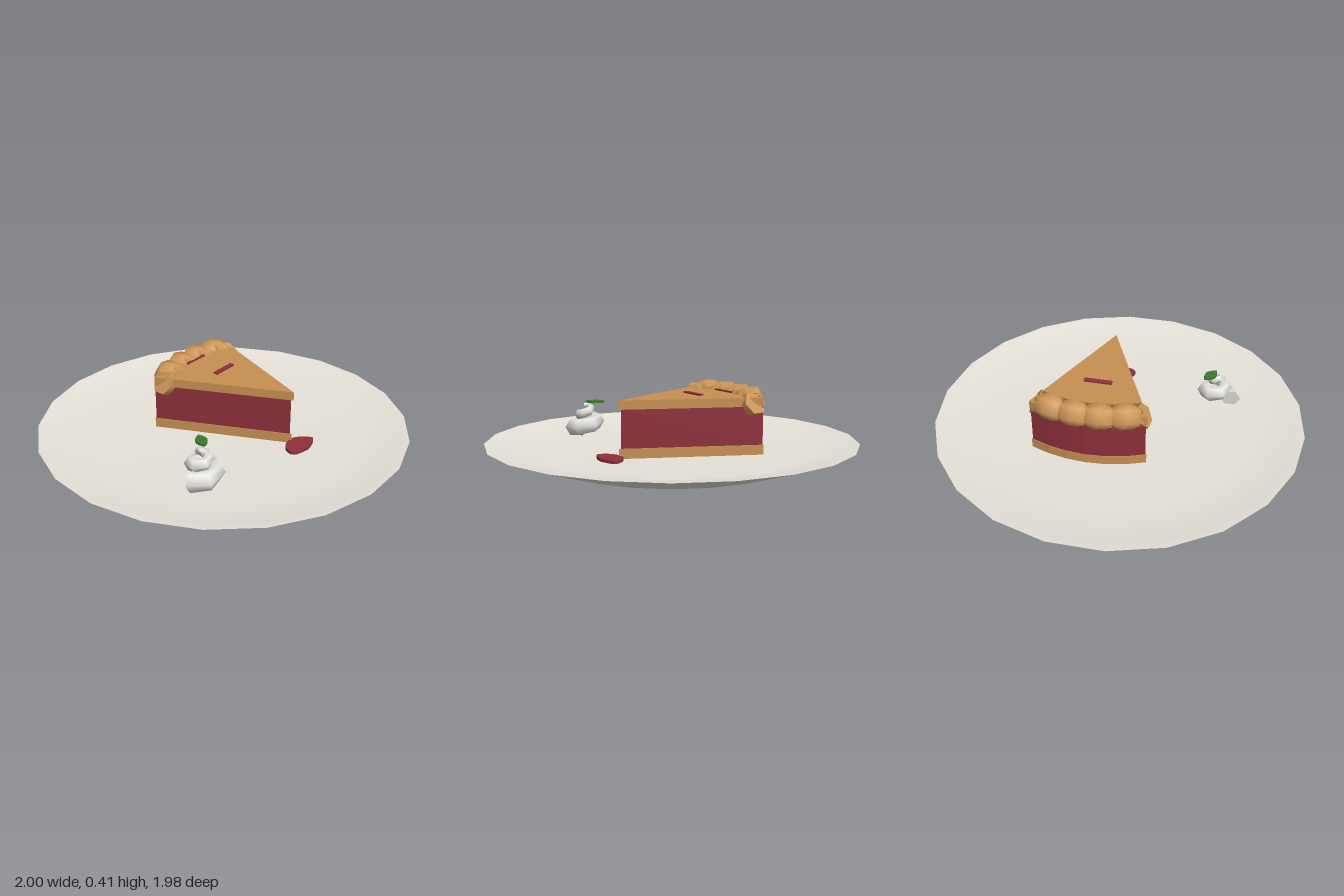
import * as THREE from 'three';

const mat = (name, color) => {
  const m = new THREE.MeshStandardMaterial({ color });
  m.name = name;
  return m;
};

// Capped tube swept along path(t), with a radius that may change along it
function sweep(path, radius, steps, sides) {
  const pos = [], idx = [];
  const up = new THREE.Vector3(0, 1, 0);
  const ring = (t) => {
    const c = path(t);
    const dir = path(t + 0.001).sub(path(t - 0.001)).normalize();
    const side = dir.clone().cross(up).normalize();
    const n = side.clone().cross(dir);
    for (let j = 0; j < sides; j++) {
      const a = (j / sides) * Math.PI * 2, r = radius(t);
      const p = c.clone().addScaledVector(side, r * Math.cos(a)).addScaledVector(n, r * Math.sin(a));
      pos.push(p.x, p.y, p.z);
    }
  };
  for (let i = 0; i <= steps; i++) ring(i / steps);
  for (let i = 0; i < steps; i++) {
    for (let j = 0; j < sides; j++) {
      const k = (j + 1) % sides;
      const a = i * sides + j, b = i * sides + k, c = a + sides, d = b + sides;
      idx.push(a, c, b, b, c, d);
    }
  }
  // Flat end caps with their own corners
  for (const t of [0, 1]) {
    const base = pos.length / 3;
    ring(t);
    for (let j = 1; j < sides - 1; j++) {
      if (t === 0) idx.push(base, base + j, base + j + 1);
      else idx.push(base, base + j + 1, base + j);
    }
  }
  const g = new THREE.BufferGeometry();
  g.setAttribute('position', new THREE.Float32BufferAttribute(pos, 3));
  g.setIndex(idx);
  g.computeVertexNormals();
  return g;
}

// Flat shape extruded upward; shape y points to the back
function slab(shape, height) {
  const g = new THREE.ExtrudeGeometry(shape, { depth: height, bevelEnabled: false, curveSegments: 6 });
  return g.rotateX(-Math.PI / 2);
}

function wedgeShape(radius, half) {
  const s = new THREE.Shape();
  s.moveTo(0, 0);
  for (let i = 0; i <= 6; i++) {
    const a = half - (i / 6) * half * 2;
    s.lineTo(Math.sin(a) * radius, Math.cos(a) * radius);
  }
  s.closePath();
  return s;
}

export function createModel() {
  const model = new THREE.Group();
  const china = mat('china', 0xe6e2d9);
  const crust = mat('crust', 0xc68f52);
  const bakedEdge = mat('bakedEdge', 0xd0985a);
  const berry = mat('berry', 0x8e2f3b);
  const cream = mat('cream', 0xf6f4f0);
  const mint = mat('mint', 0x3b7a2c);

  const add = (name, geometry, material, x = 0, y = 0, z = 0) => {
    const m = new THREE.Mesh(geometry, material);
    m.name = name;
    m.position.set(x, y, z);
    model.add(m);
    return m;
  };

  // Plate: outer shell and shallow dish
  const lathe = (pts) => new THREE.LatheGeometry(
    pts.map(([x, y]) => new THREE.Vector2(x, y)), 22, Math.PI / 2);
  add('plateUnderside', lathe([[0, 0], [0.65, 0], [1, 0.115]]), china);
  add('plateDish', lathe([[1, 0.115], [0.95, 0.11], [0.72, 0.066], [0, 0.066]]), china);

  // Pie slice layers, all with the point at the front
  const half = 0.418;
  add('bottomCrust', slab(wedgeShape(0.755, half), 0.052), crust, 0.1, 0.066, 0.382);
  add('filling', slab(wedgeShape(0.74, half), 0.202), berry, 0.1, 0.118, 0.37);
  add('topCrust', slab(wedgeShape(0.755, half), 0.047), crust, 0.1, 0.32, 0.385);

  // Crimped edge following the back arc
  const edgePath = (t) => {
    const a = (t * 2 - 1) * 0.425;
    const wave = -Math.cos((a / 0.188) * Math.PI * 2);
    const r = 0.695 + 0.012 * wave;
    return new THREE.Vector3(0.1 + Math.sin(a) * r, 0.34 + 0.014 * wave, 0.37 - Math.cos(a) * r);
  };
  add('crimpedEdge', sweep(edgePath, () => 0.067, 36, 6), bakedEdge);

  // Steam slits showing the filling
  for (const z of [-0.072, -0.28]) {
    add('steamSlit', new THREE.BoxGeometry(0.15, 0.016, 0.027), berry, 0.1, 0.367, z);
  }

  // Sauce drop in front of the point
  const drop = new THREE.Shape();
  drop.moveTo(-0.1, -0.01);
  drop.quadraticCurveTo(-0.085, 0.055, 0, 0.062);
  drop.quadraticCurveTo(0.06, 0.06, 0.095, -0.015);
  drop.quadraticCurveTo(0.11, -0.04, 0, -0.06);
  drop.quadraticCurveTo(-0.11, -0.045, -0.1, -0.01);
  add('sauceDrop', slab(drop, 0.018), berry, 0.1, 0.064, 0.43);

  // Whipped cream swirl: a tapering spiral
  const swirlPath = (t) => {
    const a = Math.PI - t * Math.PI * 4;
    const r = 0.078 * (1 - 0.85 * t);
    return new THREE.Vector3(-0.5 + Math.cos(a) * r, 0.12 + 0.145 * t, 0.26 + Math.sin(a) * r);
  };
  add('creamSwirl', sweep(swirlPath, (t) => 0.056 * (1 - 0.72 * t), 12, 6), cream);

  // Mint leaf on top
  const leaf = new THREE.Shape();
  leaf.moveTo(0, -0.052);
  leaf.quadraticCurveTo(0.06, 0, 0, 0.052);
  leaf.quadraticCurveTo(-0.06, 0, 0, -0.052);
  add('mintLeaf', slab(leaf, 0.012), mint, -0.462, 0.276, 0.226).rotation.y = -0.6;

  return model;
}
